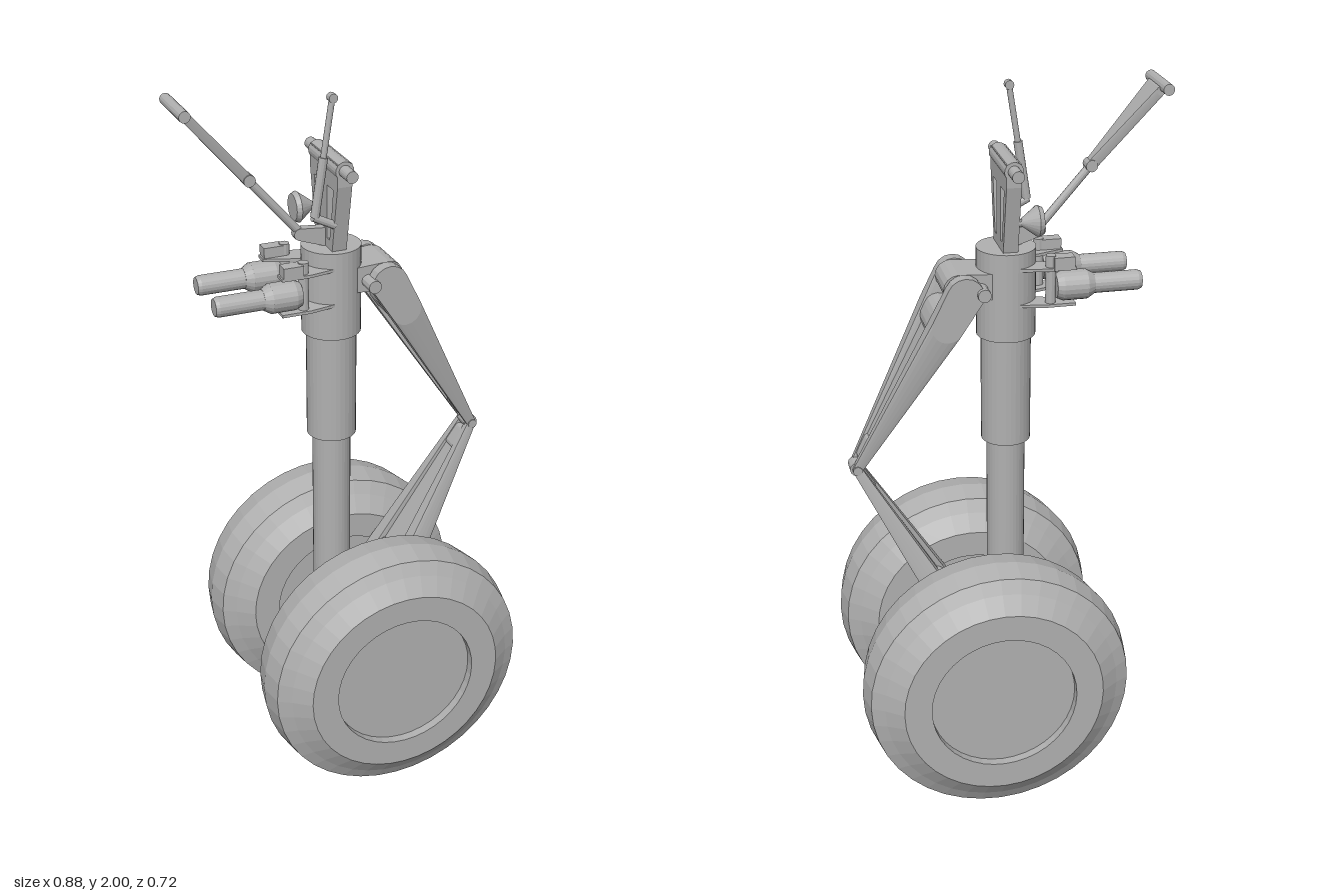
import * as THREE from 'three';
import { ConvexGeometry } from 'three/addons/geometries/ConvexGeometry.js';

const metal = new THREE.MeshStandardMaterial({ color: 0xb0b0b0, flatShading: true });
metal.name = 'grey metal';
const V = (x, y, z) => new THREE.Vector3(x, y, z);

export function createModel() {
  const model = new THREE.Group();
  model.name = 'landingGear';

  const add = (name, geometry, x = 0, y = 0, z = 0) => {
    const mesh = new THREE.Mesh(geometry, metal);
    mesh.name = name;
    mesh.position.set(x, y, z);
    model.add(mesh);
    return mesh;
  };
  // Round bar from a to b
  const bar = (name, a, b, ra, rb = ra, sides = 20) => {
    const dir = b.clone().sub(a);
    const mesh = add(name, new THREE.CylinderGeometry(rb, ra, dir.length(), sides));
    mesh.position.copy(a).add(b).multiplyScalar(0.5);
    mesh.quaternion.setFromUnitVectors(V(0, 1, 0), dir.normalize());
    return mesh;
  };
  const pin = (name, x, y, z, r, sides) => bar(name, V(x, y, -z), V(x, y, z), r, r, sides);
  const box = (name, w, h, d, x, y, z) => add(name, new THREE.BoxGeometry(w, h, d), x, y, z);
  // Solid wrapped around discs { x, y, r, z: [z0, z1] } facing along z
  const hull = (name, discs) => {
    const points = [];
    for (const d of discs) for (const z of d.z) for (let i = 0; i < 16; i++) {
      const t = (i / 16) * Math.PI * 2;
      points.push(V(d.x + d.r * Math.cos(t), d.y + d.r * Math.sin(t), z));
    }
    return add(name, new ConvexGeometry(points));
  };

  // Wheels: chamfered tyre with a recessed hub on both faces
  const half = [[0, 0.1], [0.204, 0.1], [0.204, 0.125], [0.28, 0.125], [0.328, 0.09], [0.364, 0.07], [0.377, 0]];
  const profile = [
    ...half.map(([r, h]) => new THREE.Vector2(r, -h)),
    ...half.slice(0, -1).reverse().map(([r, h]) => new THREE.Vector2(r, h)),
  ];
  for (const s of [1, -1]) {
    const wheel = add('wheel', new THREE.LatheGeometry(profile, 40), 0.06, 0.377, s * 0.235);
    wheel.rotation.x = Math.PI / 2;
  }
  pin('axle', 0.06, 0.385, 0.15, 0.025);
  pin('axleSleeve', 0.06, 0.385, 0.06, 0.04);
  box('axleBlock', 0.13, 0.09, 0.1, 0.02, 0.395, 0);

  // Telescopic leg
  const X = -0.02;
  const leg = (name, y0, y1, r) => bar(name, V(X, y0, 0), V(X, y1, 0), r, r, 32);
  leg('piston', 0.35, 1.04, 0.053);
  leg('outerCylinder', 1.02, 1.34, 0.068);
  leg('collar', 1.33, 1.53, 0.08);
  leg('collarCap', 1.53, 1.575, 0.08);

  // Torque links: two tapering rails, a thin web and a cross beam
  const knee = { x: 0.4, y: 0.97, r: 0.013 };
  const torqueLink = (name, root) => {
    const mix = (t, zs, scale = 1) => ({
      x: root.x + (knee.x - root.x) * t,
      y: root.y + (knee.y - root.y) * t,
      r: (root.r + (knee.r - root.r) * t) * scale,
      z: zs,
    });
    for (const s of [1, -1]) {
      hull(name + 'Rail', [mix(0, [s * 0.1, s * 0.066]), mix(0.16, [s * 0.1, s * 0.08]), mix(1, [s * 0.03, s * 0.015])]);
    }
    hull(name + 'Web', [mix(0.17, [-0.085, 0.085], 0.55), mix(0.88, [-0.03, 0.03], 0.55)]);
    hull(name + 'Beam', [mix(0.16, [-0.085, 0.085], 0.9), mix(0.2, [-0.08, 0.08], 0.9)]);
    hull(name + 'Tip', [mix(0.86, [-0.035, 0.035], 0.85), mix(0.94, [-0.02, 0.02], 0.85)]);
  };
  torqueLink('upperTorqueLink', { x: 0.108, y: 1.477, r: 0.05 });
  torqueLink('lowerTorqueLink', { x: 0.12, y: 0.46, r: 0.04 });
  pin('kneePin', knee.x, knee.y, 0.037, 0.013, 12);
  pin('kneeBush', knee.x, knee.y, 0.022, 0.02, 12);
  hull('upperLug', [{ x: 0.03, y: 1.485, r: 0.035, z: [-0.062, 0.062] }, { x: 0.12, y: 1.485, r: 0.04, z: [-0.062, 0.062] }]);
  hull('lowerLug', [{ x: 0.03, y: 0.42, r: 0.03, z: [-0.06, 0.06] }, { x: 0.12, y: 0.455, r: 0.03, z: [-0.06, 0.06] }]);
  pin('upperLinkPin', 0.06, 1.48, 0.112, 0.018, 12);
  pin('lowerLinkPin', 0.12, 0.46, 0.105, 0.018, 12);

  // Mounting fork with two windows, extruded along x
  const outline = [[0.055, 1.56], [0.075, 1.66], [0.095, 1.76], [0.095, 1.82]];
  const fork = new THREE.Shape([
    ...outline.map(([z, y]) => new THREE.Vector2(z, y)),
    ...outline.slice().reverse().map(([z, y]) => new THREE.Vector2(-z, y)),
  ]);
  for (const s of [1, -1]) {
    fork.holes.push(new THREE.Path([[0.024, 1.6], [0.04, 1.6], [0.054, 1.67], [0.066, 1.745], [0.024, 1.745]]
      .map(([z, y]) => new THREE.Vector2(s * z, y))));
  }
  const forkGeometry = new THREE.ExtrudeGeometry(fork, { depth: 0.04, bevelEnabled: false });
  forkGeometry.rotateY(Math.PI / 2);
  add('mountingFork', forkGeometry, X - 0.02, 0, 0);
  pin('trunnionBarrel', X, 1.802, 0.095, 0.025);
  pin('trunnionPin', X, 1.802, 0.145, 0.016);

  // Folding drag strut
  pin('strutCrossbar', -0.425, 1.985, 0.08, 0.015, 14);
  hull('strutWedge', [
    { x: -0.415, y: 1.975, r: 0.012, z: [-0.045, 0.045] },
    { x: -0.25, y: 1.785, r: 0.014, z: [-0.012, 0.012] },
  ]);
  bar('strutRod', V(-0.26, 1.795, 0), V(-0.1, 1.61, 0), 0.011, 0.011, 12);
  pin('strutJoint', -0.245, 1.78, 0.018, 0.016, 12);
  hull('strutLug', [{ x: -0.11, y: 1.615, r: 0.016, z: [-0.012, 0.012] }, { x: -0.04, y: 1.6, r: 0.025, z: [-0.012, 0.012] }]);

  // Slim retraction actuator
  bar('actuatorRod', V(-0.042, 1.985, 0.065), V(-0.068, 1.82, 0.065), 0.008, 0.008, 12);
  bar('actuatorBody', V(-0.066, 1.835, 0.065), V(-0.09, 1.68, 0.065), 0.012, 0.012, 12);
  pin('actuatorEye', 0, 0, 0.01, 0.012, 12).position.set(-0.042, 1.985, 0.065);
  bar('actuatorFoot', V(-0.095, 1.68, 0.065), V(-0.035, 1.65, 0.065), 0.011, 0.011, 12);

  // Dish lamp beside the fork
  bar('dishLamp', V(-0.087, 1.66, -0.07), V(-0.045, 1.66, -0.07), 0.042, 0.01, 24);
  bar('dishLampLens', V(-0.1, 1.66, -0.07), V(-0.087, 1.66, -0.07), 0.036, 0.042, 24);
  bar('dishLampStem', V(-0.05, 1.66, -0.07), V(-0.02, 1.65, -0.055), 0.01, 0.01, 10);

  // Pair of steering actuators with brackets
  for (const s of [1, -1]) {
    const z = s * 0.074;
    const along = (name, x0, x1, r0, r1) => bar(name, V(x0, 1.48, z), V(x1, 1.48, z), r0, r1, 20);
    along('steeringTubeEnd', -0.37, -0.36, 0.023, 0.027);
    along('steeringTube', -0.36, -0.23, 0.027, 0.027);
    along('steeringTaper', -0.24, -0.22, 0.028, 0.04);
    along('steeringBody', -0.22, -0.155, 0.04, 0.04);
    along('steeringBodyEnd', -0.155, -0.137, 0.04, 0.032);
    box('steeringBracket', 0.055, 0.035, 0.035, -0.158, 1.545, z);
    bar('steeringPivot', V(-0.125, 1.425, s * 0.07), V(-0.125, 1.565, s * 0.07), 0.014, 0.014, 12);
    // Flat arms joining the bodies to the collar
    for (const y of [1.43, 1.53]) {
      const arm = [[-0.19, 0.055], [-0.19, 0.09], [-0.11, 0.09], [-0.03, 0.075], [-0.03, 0.0], [-0.1, 0.025]];
      const points = [];
      for (const [px, pz] of arm) points.push(V(px, y - 0.004, s * pz), V(px, y + 0.004, s * pz));
      add('steeringArm', new ConvexGeometry(points));
    }
  }

  return model;
}
